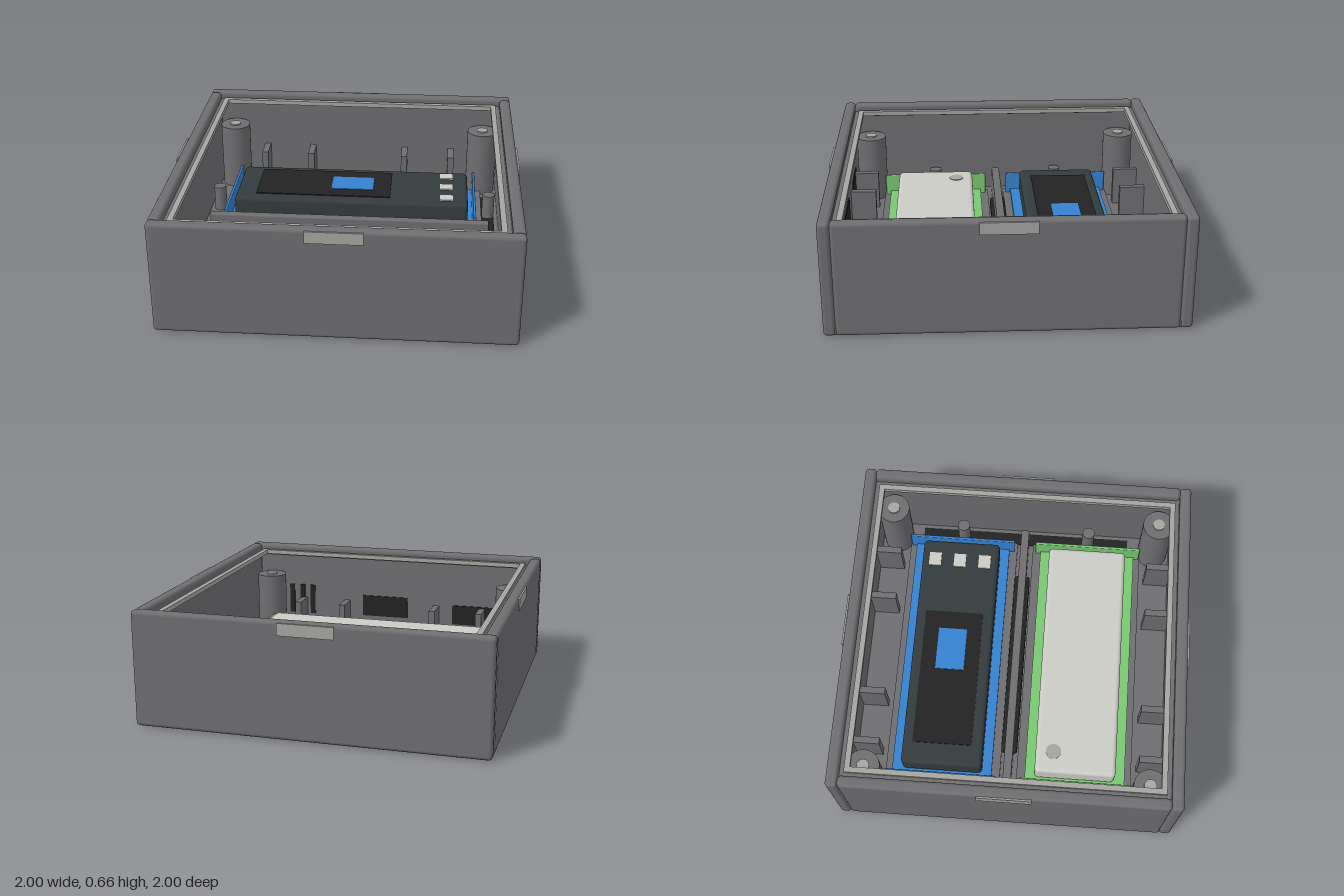
import * as THREE from 'three';
import { RoundedBoxGeometry } from 'three/addons/geometries/RoundedBoxGeometry.js';

const mat = (name, color) => {
  const m = new THREE.MeshStandardMaterial({ color });
  m.name = name;
  return m;
};

export function createModel() {
  const root = new THREE.Group();
  root.name = 'electronicsEnclosure';
  const shell = mat('shellGrey', 0x6e6e71);
  const light = mat('lightGrey', 0xa4a4a1);
  const blue = mat('blue', 0x3582d0);
  const green = mat('green', 0x78c870);
  const white = mat('offWhite', 0xcbcbc6);
  const dark = mat('slate', 0x343b3c);
  const black = mat('black', 0x232323);

  const add = (name, geo, m, x = 0, y = 0, z = 0, parent = root) => {
    const mesh = new THREE.Mesh(geo, m);
    mesh.name = name;
    mesh.position.set(x, y, z);
    parent.add(mesh);
    return mesh;
  };
  // Boxes given by their limits on each axis; r > 0 rounds the edges
  const box = (name, m, [x0, x1], [y0, y1], [z0, z1], r = 0, parent = root) => {
    const s = [x1 - x0, y1 - y0, z1 - z0];
    const geo = r ? new RoundedBoxGeometry(...s, 3, r) : new THREE.BoxGeometry(...s);
    return add(name, geo, m, (x0 + x1) / 2, (y0 + y1) / 2, (z0 + z1) / 2, parent);
  };
  const cyl = (name, m, r, y0, y1, x, z) =>
    add(name, new THREE.CylinderGeometry(r, r, y1 - y0, 32), m, x, (y0 + y1) / 2, z);
  const span = (c, w) => [c - w / 2, c + w / 2];

  // Outer shell: floor and four rounded walls
  box('floor', shell, [-0.985, 0.985], [0, 0.06], [-0.985, 0.985], 0.02);
  for (const s of [-1, 1]) {
    box('endWall', shell, [-0.993, 0.993], [0.003, 0.663], span(s * 0.959, 0.068), 0.022);
    box('sideWall', shell, span(s * 0.959, 0.068), [0.003, 0.663], [-0.927, 0.927], 0.022);
    // Latch plates on the outside
    box('latch', light, [-0.155, 0.155], [0.587, 0.655], span(s * 0.995, 0.01));
    box('latch', light, span(s * 0.995, 0.01), [0.587, 0.655], [-0.155, 0.155]);
    // Seal ring and the narrow ledge carrying it
    box('sealRing', light, [-0.9, 0.9], [0.605, 0.632], span(s * 0.884, 0.032));
    box('sealRing', light, span(s * 0.884, 0.032), [0.605, 0.632], [-0.868, 0.868]);
    box('sealLedge', shell, [-0.93, 0.93], [0.595, 0.615], span(s * 0.913, 0.035));
    box('sealLedge', shell, span(s * 0.913, 0.035), [0.595, 0.615], [-0.93, 0.93]);

    // Stiffening ribs on the end walls
    for (const x of [-0.62, -0.31, 0.31, 0.62])
      box('rib', shell, span(x, 0.04), [0.05, 0.3], span(s * 0.847, 0.155));

    // Corner screw posts and small side bosses
    for (const t of [-1, 1]) {
      cyl('screwPost', shell, 0.095, 0.05, 0.48, s * 0.82, t * 0.82);
      cyl('screwInsert', light, 0.036, 0.47, 0.488, s * 0.82, t * 0.82);
      cyl('sideBoss', shell, 0.038, 0.05, 0.22, s * 0.862, t * 0.4);
    }
  }

  // Divider between the bays, with the black cable run beneath it
  box('divider', shell, [-0.85, 0.85], [0.05, 0.23], [-0.028, 0.022], 0.008);
  box('cableRun', black, [-0.58, 0.575], [0.06, 0.13], [-0.052, 0.044], 0.015);
  box('sideStrip', black, [0.822, 0.9], [0.055, 0.068], [-0.665, 0.66]);

  // Two module bays: tray, coloured cradle with upright ends, and body
  for (const [s, cradle, body, name] of [[-1, blue, dark, 'display'], [1, green, white, 'battery']]) {
    const g = new THREE.Group();
    g.name = name + 'Module';
    root.add(g);
    box('tray', shell, [-0.822, 0.822], [0.05, 0.085], span(s * 0.395, 0.69), 0, g);
    box('cradle', cradle, [-0.77, 0.77], [0.07, 0.11], span(s * 0.4, 0.6), 0, g);
    for (const x of [-0.77, 0.77])
      box('cradleEnd', cradle, span(x, 0.016), [0.07, 0.22], span(s * 0.4, 0.665), 0.006, g);
    box(name + 'Body', body, [-0.728, 0.728], [0.1, 0.26], span(s * 0.397, 0.48), 0.026, g);
  }

  // Display face and its buttons
  box('displayPanel', black, [-0.6, 0.242], [0.258, 0.266], [-0.578, -0.225]);
  box('screen', blue, [-0.133, 0.13], [0.262, 0.27], [-0.487, -0.314]);
  for (const z of [-0.555, -0.4, -0.245])
    box('button', white, span(0.593, 0.087), [0.25, 0.268], span(z, 0.075));

  // Round mark on the battery
  cyl('batteryMark', light, 0.045, 0.257, 0.264, -0.6, 0.263);

  // Port and vent plates inside the front wall
  const zPlate = [0.918, 0.927];
  box('port', black, [-0.11, 0.2], [0.2, 0.34], zPlate);
  box('port', black, [-0.69, -0.42], [0.18, 0.31], zPlate);
  for (let i = 0; i < 5; i++)
    box('ventSlot', black, span(0.56 + i * 0.074, 0.034), [0.19, 0.39], zPlate);

  return root;
}
